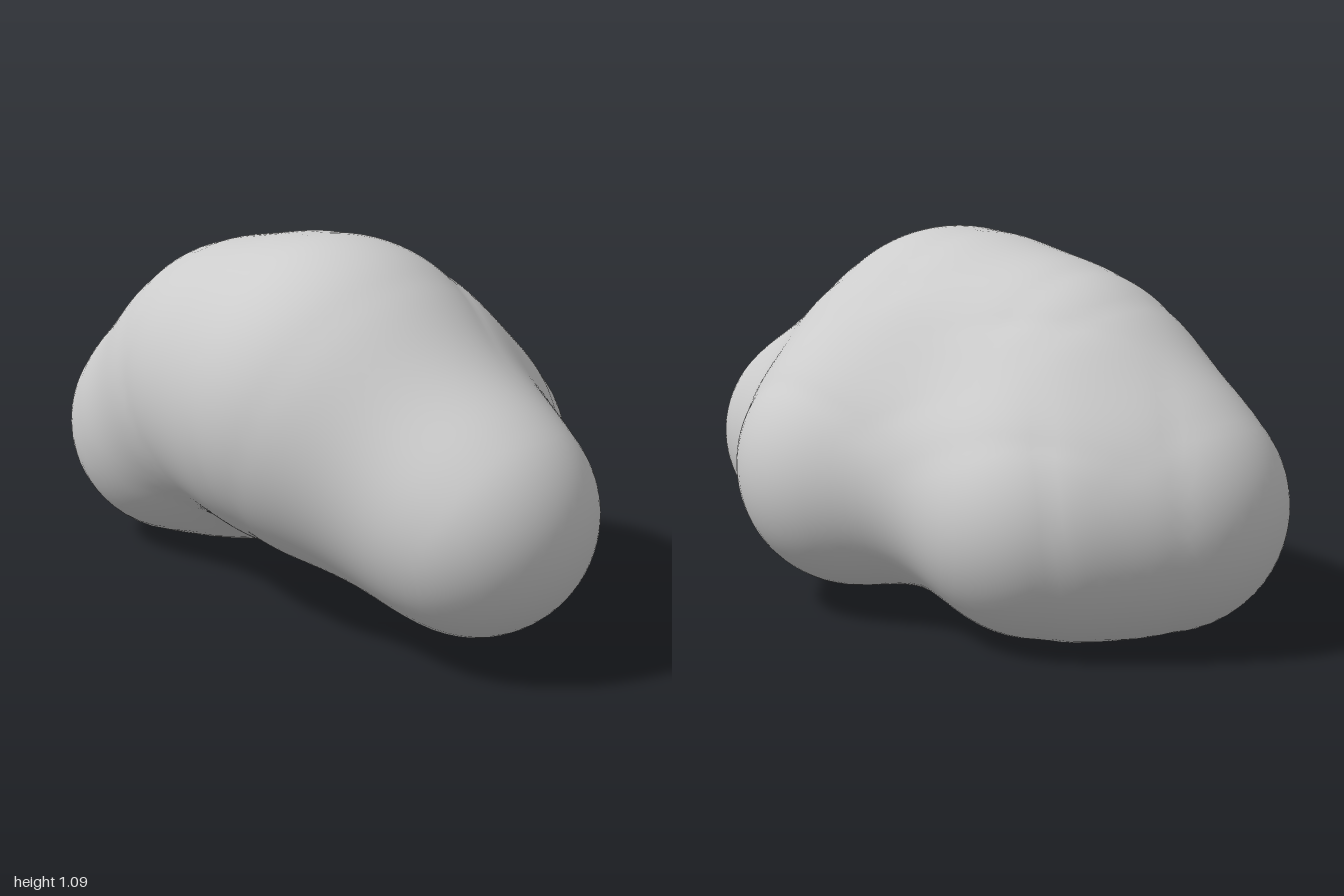
import * as THREE from 'three';
import { mergeVertices } from 'three/addons/utils/BufferGeometryUtils.js';

// Lobes of the body: centre, radius
const lobe = (x, y, z, r) => ({ c: new THREE.Vector3(x, y, z), r, links: 0 });
const LOBES = {
  leftEnd: lobe(0.67, 0.4, 0.09, 0.33),
  rightEnd: lobe(-0.65, 0.36, 0.09, 0.35),
  rearRight: lobe(-0.42, 0.345, -0.16, 0.345),
  rearLeft: lobe(0.2, 0.405, -0.24, 0.35),
  crown: lobe(0.15, 0.62, 0.135, 0.455),
  shoulder: lobe(-0.28, 0.59, 0.11, 0.4),
  saddle: lobe(-0.1, 0.41, -0.15, 0.325),
};

// Tapered limbs with a lobe at each end; the last number is how full the middle is
const LIMBS = [
  ['crown', 'leftEnd', 0.4], ['crown', 'shoulder', 0.8], ['crown', 'rearLeft', 1],
  ['crown', 'saddle', 0.6], ['shoulder', 'rightEnd', 0.7], ['shoulder', 'rearRight', 0.9],
  ['rightEnd', 'rearRight', 1], ['rearRight', 'saddle', 0], ['saddle', 'rearLeft', 0],
  ['leftEnd', 'rearLeft', 0],
].map(([from, to, fullness]) => {
  const a = LOBES[from], b = LOBES[to];
  a.links++;
  b.links++;
  const axis = b.c.clone().sub(a.c);
  const length = axis.length();
  const taper = (b.r - a.r) / length;
  const slope = taper / Math.sqrt(1 - taper * taper);
  return { a, b, fullness, axis: axis.normalize(), length, slope };
});

const BLEND = 0.04;
const CORE = new THREE.Vector3(0.08, 0.46, 0.04);
const offset = new THREE.Vector3();

// Smooth union of the limbs: negative inside, positive outside.
// Limbs sharing a lobe split its weight so it keeps its radius.
function distance(p) {
  let sum = 0;
  for (const { a, b, fullness, axis, length, slope } of LIMBS) {
    offset.subVectors(p, a.c);
    const along = offset.dot(axis);
    const across = Math.sqrt(Math.max(0, offset.lengthSq() - along * along));
    const t = THREE.MathUtils.clamp((along + across * slope) / length, 0, 1);
    const d = Math.hypot(along - t * length, across) - THREE.MathUtils.lerp(a.r, b.r, t);
    const share = THREE.MathUtils.lerp(1 / a.links, 1 / b.links, t);
    const weight = THREE.MathUtils.lerp(share, 1, fullness * 4 * t * (1 - t));
    sum += weight * Math.exp(-d / BLEND);
  }
  return -BLEND * Math.log(sum);
}

// March inward along a ray from the core to find the outer skin
function skinPoint(dir) {
  let t = 1.6;
  const p = new THREE.Vector3();
  for (let i = 0; i < 200; i++) {
    p.copy(CORE).addScaledVector(dir, t);
    const d = distance(p);
    if (Math.abs(d) < 1e-4) break;
    t -= d * 0.7;
  }
  return p;
}

export function createModel() {
  const group = new THREE.Group();
  const grey = new THREE.MeshStandardMaterial({ color: 0xcccccc });
  grey.name = 'stone grey';

  // Shrink-wrap a welded sphere onto the blended limbs
  let geo = new THREE.IcosahedronGeometry(1, 24);
  geo.deleteAttribute('normal');
  geo.deleteAttribute('uv');
  geo = mergeVertices(geo, 1e-4);
  const pos = geo.attributes.position;
  const dir = new THREE.Vector3();
  const stretch = new THREE.Vector3(1.6, 1, 1);
  for (let i = 0; i < pos.count; i++) {
    dir.fromBufferAttribute(pos, i).multiply(stretch).normalize();
    const p = skinPoint(dir);
    pos.setXYZ(i, p.x, p.y, p.z);
  }
  geo.computeVertexNormals();

  const body = new THREE.Mesh(geo, grey);
  body.name = 'lumpyBody';
  group.add(body);
  return group;
}
